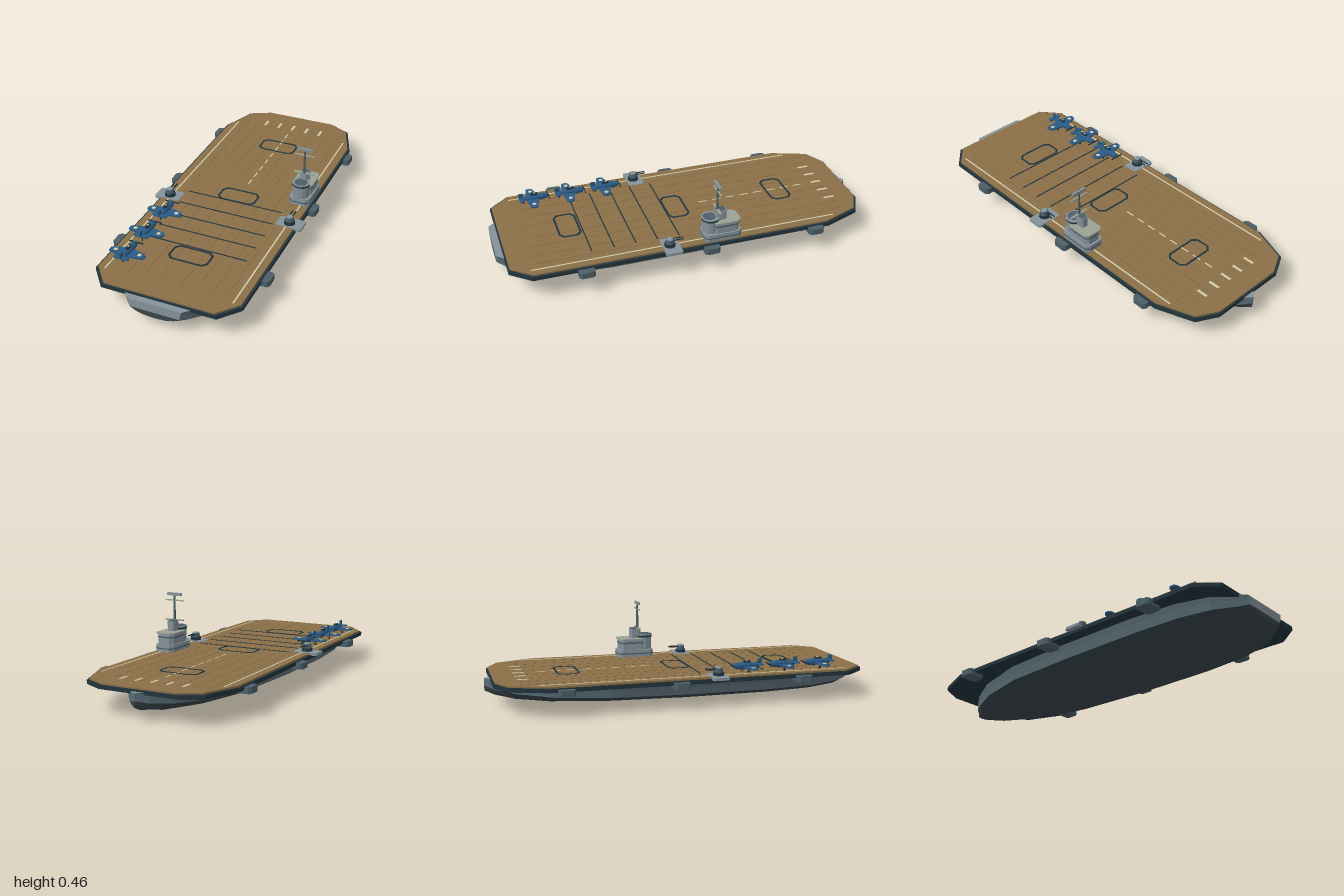
import * as THREE from 'three';

const mat = (name, color, side = THREE.FrontSide) => {
  const m = new THREE.MeshStandardMaterial({ color, side });
  m.name = name;
  return m;
};

export function createModel() {
  const M = {
    wood: mat('deck wood', 0x8a7048),
    seam: mat('dark wood seam', 0x6b5638),
    dark: mat('dark steel', 0x22343c),
    hull: mat('hull grey', 0x5c6f78, THREE.DoubleSide),
    bottom: mat('hull bottom', 0x38444a, THREE.DoubleSide),
    sponson: mat('sponson grey', 0x4c5f68),
    light: mat('light grey', 0x85939a, THREE.DoubleSide),
    buff: mat('pale buff', 0x9aa294),
    blue: mat('aircraft blue', 0x2a5a85),
    cream: mat('marking cream', 0xd2cba6),
  };
  const root = new THREE.Group();
  const TOP = 0.157; // flight deck height

  // faceted mesh helpers
  const add = (parent, name, geo, m, x = 0, y = 0, z = 0) => {
    const g = geo.index ? geo.toNonIndexed() : geo;
    g.computeVertexNormals();
    const mesh = new THREE.Mesh(g, m);
    mesh.name = name;
    mesh.position.set(x, y, z);
    parent.add(mesh);
    return mesh;
  };
  const box = (p, name, m, w, h, d, x, y, z) => add(p, name, new THREE.BoxGeometry(w, h, d), m, x, y, z);
  const cyl = (p, name, m, r1, r2, h, x, y, z, n = 12) => add(p, name, new THREE.CylinderGeometry(r1, r2, h, n), m, x, y, z);
  const group = (p, name, x = 0, y = 0, z = 0) => {
    const g = new THREE.Group();
    g.name = name;
    g.position.set(x, y, z);
    p.add(g);
    return g;
  };
  // horizontal slab from an (x, z) outline
  const slab = (p, name, m, pts, y0, y1, x = 0, z = 0, hole) => {
    const s = new THREE.Shape(pts.map(([a, b]) => new THREE.Vector2(a, b)));
    if (hole) s.holes.push(new THREE.Path(hole.map(([a, b]) => new THREE.Vector2(a, b))));
    const g = new THREE.ExtrudeGeometry(s, { depth: y1 - y0, bevelEnabled: false });
    g.rotateX(Math.PI / 2);
    return add(p, name, g, m, x, y1, z);
  };
  const mirror = (half) => [...half, ...half.map(([x, z]) => [-x, z]).reverse()];
  const octagon = (w, d, c) => mirror([[w - c, -d], [w, -d + c], [w, d - c], [w - c, d]]);

  // hull lofted through stations: z, half width, keel height
  const stations = [
    [-1, 0.004, 0.075], [-0.95, 0.06, 0.05], [-0.85, 0.14, 0.028], [-0.68, 0.235, 0.012],
    [-0.4, 0.31, 0.004], [0, 0.33, 0], [0.45, 0.33, 0.002], [0.7, 0.31, 0.008],
    [0.86, 0.26, 0.02], [0.95, 0.185, 0.04], [0.998, 0.14, 0.062],
  ];
  const section = [[1, 0.14], [0.955, 0.1], [0.92, 0.058], [0.73, 0.03], [0.43, 0.009], [0, 0.001]];
  const ring = ([z, w, k]) => {
    const half = section.map(([f, y]) => [f * w, 0.14 - (0.14 - y) * (0.14 - k) / 0.14, z]);
    return [...half, ...half.slice(0, -1).reverse().map(([x, y, c]) => [-x, y, c])];
  };
  const rings = stations.map(ring);
  const upper = [], lower = [], caps = [];
  const quad = (list, a, b, c, d) => list.push(...a, ...b, ...d, ...b, ...c, ...d);
  for (let i = 0; i < rings.length - 1; i++) {
    const r = rings[i], s = rings[i + 1];
    for (let j = 0; j < 10; j++) quad(j < 2 || j > 7 ? upper : lower, r[j], s[j], s[j + 1], r[j + 1]);
    quad(caps, r[0], r[10], s[10], s[0]);
  }
  const bow = rings[0], stern = rings[rings.length - 1];
  for (let j = 0; j < 5; j++) {
    quad(j < 2 ? caps : lower, stern[j], stern[10 - j], stern[9 - j], stern[j + 1]);
    quad(j < 2 ? upper : lower, bow[10 - j], bow[j], bow[j + 1], bow[9 - j]);
  }
  const hull = group(root, 'hull');
  [['hullSides', upper, M.hull], ['hullBottom', lower, M.bottom], ['transomAndTop', caps, M.light]].forEach(([n, p, m]) => {
    const g = new THREE.BufferGeometry();
    g.setAttribute('position', new THREE.Float32BufferAttribute(p, 3));
    add(hull, n, g, m);
  });

  // flight deck
  const outline = [[0.21, -0.972], [0.32, -0.915], [0.393, -0.72], [0.388, 0.86], [0.3, 0.965]];
  slab(root, 'deckEdge', M.dark, mirror(outline), 0.129, 0.149);
  slab(root, 'deckPlanking', M.wood, mirror(outline.map(([x, z]) => [x - 0.011, z * 0.992])), 0.148, TOP);

  // deck markings
  const marks = group(root, 'deckMarkings');
  const stripe = (n, m, w, d, x, z, h = 0.002) => box(marks, n, m, w, h, d, x, TOP + h / 2 - 0.0005, z);
  for (const s of [-1, 1]) stripe('sideLine', M.cream, 0.008, 1.63, s * 0.338, 0.045);
  for (let i = 0; i < 8; i++) stripe('centreDash', M.cream, 0.007, 0.048, 0, -0.71 + i * 0.08);
  for (let i = -2; i <= 2; i++) stripe('bowBar', M.cream, 0.014, 0.06, i * 0.086, -0.825);
  for (const z of [0.073, 0.19, 0.305, 0.42, 0.537]) stripe('arrestorWire', M.dark, 0.54, 0.006, 0, z, 0.003);
  for (const x of [0.06, 0.14, 0.22, 0.29]) for (const s of [-1, 1]) stripe('plankSeam', M.seam, 0.0015, 1.7, s * x, 0, 0.001);
  for (const z of [-0.577, 0.013, 0.605])
    slab(marks, 'liftOutline', M.dark, octagon(0.108, 0.06, 0.024), TOP - 0.001, TOP + 0.002, 0, z, octagon(0.098, 0.05, 0.02));

  // sponsons and gun platforms
  for (const s of [-1, 1]) {
    for (const z of [-0.64, -0.06, 0.595])
      slab(root, 'sponson', M.sponson, octagon(0.05, 0.041, 0.012), 0.112, 0.144, s * 0.376, z);
    const gun = group(root, 'deckGun', s * 0.345, TOP, 0.143);
    slab(gun, 'gunPlatform', M.light, octagon(0.07, 0.044, 0.008), -0.012, 0.002, s * 0.005, 0);
    cyl(gun, 'gunBase', M.dark, 0.027, 0.03, 0.018, 0, 0.01, 0.005);
    cyl(gun, 'gunHouse', M.sponson, 0.02, 0.024, 0.022, 0, 0.03, 0.005);
    cyl(gun, 'gunRoof', M.light, 0.014, 0.019, 0.006, 0, 0.043, 0.005);
    for (const t of [-1, 1])
      cyl(gun, 'gunBarrel', M.dark, 0.0035, 0.0035, 0.06, t * 0.009, 0.034, -0.035, 6).rotation.x = Math.PI / 2;
  }

  // island superstructure
  const island = group(root, 'island', 0.325, 0, 0);
  slab(island, 'islandBase', M.light, octagon(0.056, 0.1, 0.02), TOP - 0.002, 0.195, 0, -0.132);
  slab(island, 'baseStripe', M.sponson, octagon(0.058, 0.102, 0.02), 0.172, 0.178, 0, -0.132);
  slab(island, 'afterHouse', M.light, octagon(0.048, 0.07, 0.018), 0.195, 0.252, 0, -0.15);
  slab(island, 'houseWindows', M.sponson, octagon(0.05, 0.072, 0.018), 0.23, 0.238, 0, -0.15);
  slab(island, 'houseRoof', M.buff, octagon(0.056, 0.076, 0.02), 0.252, 0.259, 0, -0.152);
  cyl(island, 'bridgeTower', M.light, 0.046, 0.043, 0.085, 0, 0.233, -0.076);
  cyl(island, 'bridgeWindows', M.dark, 0.0475, 0.0475, 0.008, 0, 0.267, -0.076);
  cyl(island, 'bridgeRim', M.light, 0.05, 0.047, 0.008, 0, 0.274, -0.076);
  cyl(island, 'bridgeWell', M.sponson, 0.035, 0.035, 0.003, 0, 0.279, -0.07);
  slab(island, 'funnel', M.light, octagon(0.022, 0.03, 0.009), 0.25, 0.313, 0, -0.128);
  slab(island, 'funnelCap', M.sponson, octagon(0.018, 0.025, 0.008), 0.313, 0.316, 0, -0.128);
  box(island, 'lowerYard', M.buff, 0.108, 0.007, 0.012, 0, 0.314, -0.112);
  cyl(island, 'mast', M.sponson, 0.005, 0.007, 0.15, 0, 0.382, -0.112, 8);
  box(island, 'upperYard', M.buff, 0.11, 0.006, 0.008, 0, 0.421, -0.112);
  box(island, 'radarPanel', M.light, 0.085, 0.015, 0.012, 0, 0.454, -0.112);

  // parked aircraft, noses toward the bow
  const wing = mirror([[0.02, -0.034], [0.085, -0.018], [0.096, -0.008], [0.096, 0.014], [0.085, 0.022], [0.02, 0.03]]);
  for (const z of [0.33, 0.53, 0.73]) {
    const plane = group(root, 'aircraft', -0.28, 0.188, z);
    const body = new THREE.LatheGeometry([[0, -0.082], [0.013, -0.076], [0.018, -0.05], [0.018, 0], [0.009, 0.06], [0, 0.078]]
      .map(([r, y]) => new THREE.Vector2(r, y)), 10);
    body.rotateX(Math.PI / 2);
    add(plane, 'fuselage', body, M.blue);
    slab(plane, 'wing', M.blue, wing, -0.01, -0.002, 0, 0.005);
    slab(plane, 'tailplane', M.blue, octagon(0.041, 0.013, 0.006), 0.002, 0.008, 0, 0.064);
    box(plane, 'fin', M.blue, 0.005, 0.03, 0.024, 0, 0.018, 0.065);
    box(plane, 'canopy', M.dark, 0.014, 0.012, 0.036, 0, 0.019, -0.006);
    box(plane, 'canopyGlint', M.cream, 0.008, 0.002, 0.01, 0, 0.026, -0.008);
    box(plane, 'propeller', M.dark, 0.08, 0.006, 0.004, 0, 0, -0.083);
    cyl(plane, 'spinner', M.dark, 0.002, 0.007, 0.01, 0, 0, -0.085, 8).rotation.x = -Math.PI / 2;
    for (const s of [-1, 1]) {
      cyl(plane, 'wingMarking', M.cream, 0.011, 0.011, 0.002, s * 0.066, -0.0015, 0.005, 12);
      box(plane, 'landingLeg', M.dark, 0.004, 0.022, 0.005, s * 0.04, -0.019, -0.01);
      cyl(plane, 'wheel', M.dark, 0.007, 0.007, 0.005, s * 0.04, -0.024, -0.01, 10).rotation.z = Math.PI / 2;
    }
    box(plane, 'tailWheel', M.dark, 0.004, 0.028, 0.005, 0, -0.017, 0.055);
  }
  return root;
}
